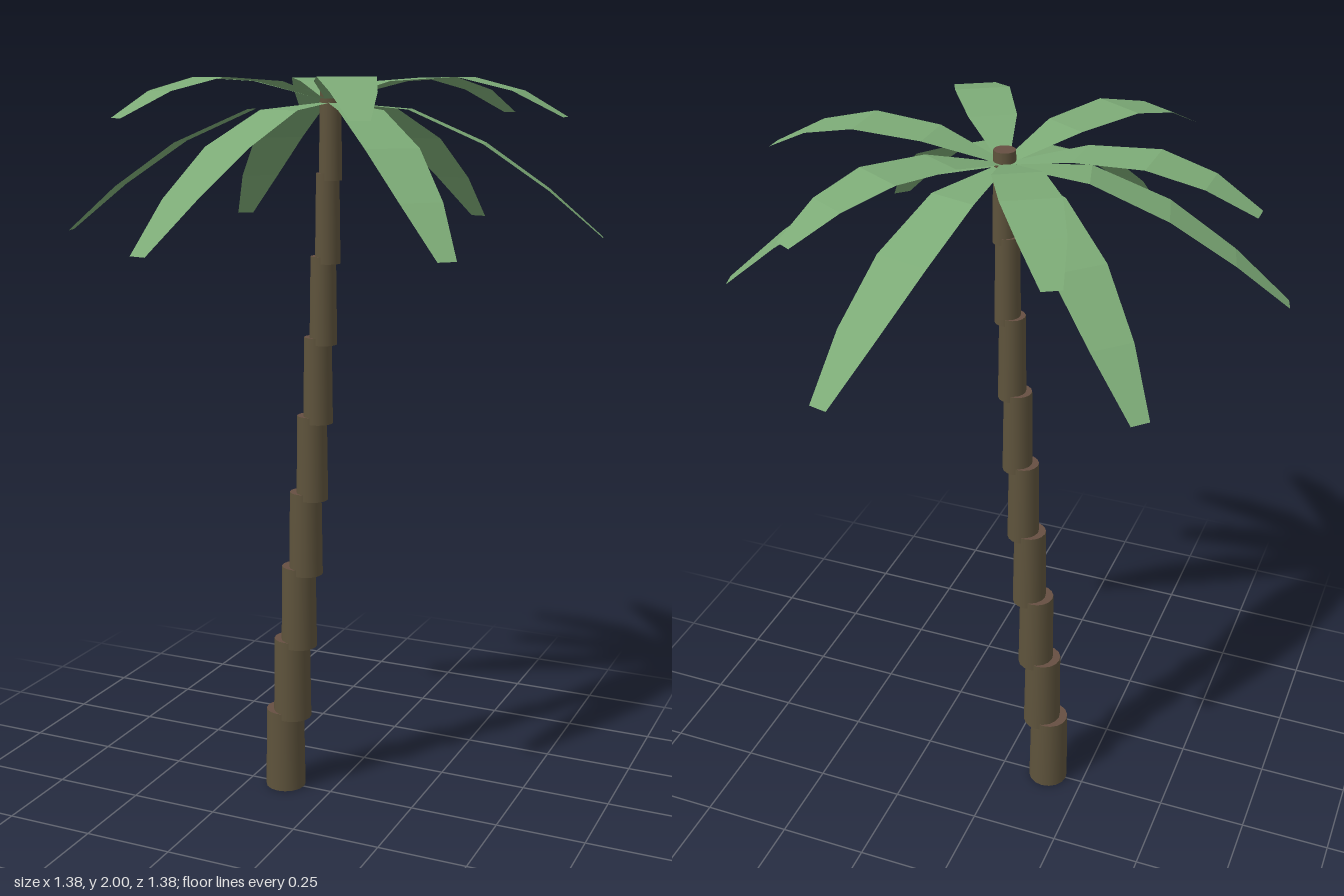
import * as THREE from 'three';

const mat = (name, color, extra = {}) => {
  const m = new THREE.MeshStandardMaterial({ color, ...extra });
  m.name = name;
  return m;
};

// Strip of quads running out along +x; each section is [radius, height, halfWidth]
function frondGeometry(sections) {
  const pos = [], idx = [];
  sections.forEach(([r, y, w], i) => {
    pos.push(r, y, -w, r, y, w);
    if (i > 0) {
      const a = (i - 1) * 2;
      idx.push(a, a + 1, a + 2, a + 1, a + 3, a + 2);
    }
  });
  const g = new THREE.BufferGeometry();
  g.setAttribute('position', new THREE.Float32BufferAttribute(pos, 3));
  g.setIndex(idx);
  const flat = g.toNonIndexed();
  flat.computeVertexNormals();
  return flat;
}

export function createModel() {
  const palm = new THREE.Group();
  palm.name = 'palmTree';
  const bark = mat('bark', 0x5e533c);
  const cutWood = mat('cutWood', 0x664f42);
  const leaf = mat('leaf', 0x7caa76, { side: THREE.DoubleSide, flatShading: true });

  // Trunk: overlapping tapered segments stepping sideways in a gentle curve
  const trunk = new THREE.Group();
  trunk.name = 'trunk';
  const centres = [-0.142, -0.119, -0.097, -0.075, -0.055, -0.037, -0.021, -0.008, 0];
  const height = 0.236, spacing = 0.2173;
  centres.forEach((x, i) => {
    const r = 0.057 - 0.0033 * i;
    const segment = new THREE.Mesh(
      new THREE.CylinderGeometry(r - 0.0033, r, height, 16), [bark, cutWood, cutWood]);
    segment.name = 'trunkSegment' + (i + 1);
    segment.position.set(x, i * spacing + height / 2, 0);
    trunk.add(segment);
  });
  palm.add(trunk);

  // Two rings of six fronds: a drooping one and a raised, shorter one
  const ring = (name, sections, startDegrees) => {
    const group = new THREE.Group();
    group.name = name;
    const geometry = frondGeometry(sections);
    for (let i = 0; i < 6; i++) {
      const frond = new THREE.Mesh(geometry, leaf);
      frond.name = name + (i + 1);
      frond.rotation.y = THREE.MathUtils.degToRad(startDegrees + i * 60);
      group.add(frond);
    }
    palm.add(group);
  };
  ring('lowerFrond', [
    [0, 1.938, 0.01], [0.207, 1.92, 0.061], [0.4, 1.835, 0.071],
    [0.567, 1.72, 0.055], [0.708, 1.6, 0.024],
  ], 15.5);
  ring('upperFrond', [
    [0, 1.94, 0.01], [0.19, 1.99, 0.061], [0.367, 2, 0.071],
    [0.505, 1.967, 0.055], [0.625, 1.905, 0.024],
  ], 0);

  return palm;
}
